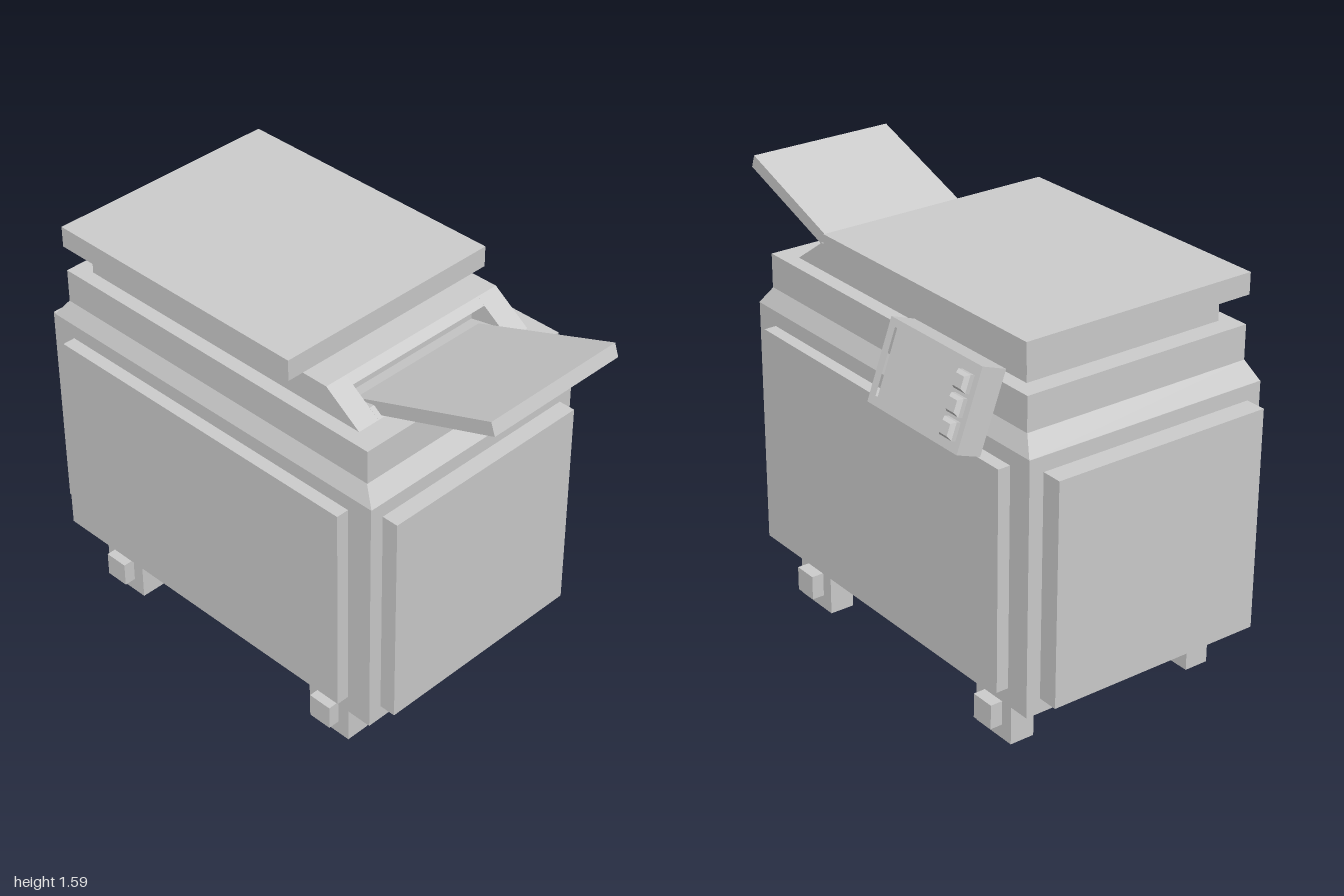
import * as THREE from 'three';

const material = new THREE.MeshStandardMaterial({ color: 0xcccccc, flatShading: true });

function add(parent, name, geometry) {
  const mesh = new THREE.Mesh(geometry, material);
  mesh.name = name;
  parent.add(mesh);
  return mesh;
}

// Box given by its limits on each axis
function box(parent, name, [x0, x1], [y0, y1], [z0, z1]) {
  const g = new THREE.BoxGeometry(x1 - x0, y1 - y0, z1 - z0);
  g.translate((x0 + x1) / 2, (y0 + y1) / 2, (z0 + z1) / 2);
  return add(parent, name, g);
}

// Box whose top is narrower than its base
function frustum(w, h, d, topW, topD) {
  const g = new THREE.BoxGeometry(w, h, d);
  const p = g.attributes.position;
  for (let i = 0; i < p.count; i++) {
    if (p.getY(i) > 0) {
      p.setX(i, Math.sign(p.getX(i)) * topW / 2);
      p.setZ(i, Math.sign(p.getZ(i)) * topD / 2);
    }
  }
  g.computeVertexNormals();
  return g;
}

const outline = (points, Type = THREE.Shape) =>
  new Type(points.map(([z, y]) => new THREE.Vector2(-z, y)));

// Side profile in (z, y), extruded from x0 to x1
function prism(parent, name, shape, x0, x1) {
  const g = new THREE.ExtrudeGeometry(shape, { depth: x1 - x0, bevelEnabled: false });
  g.rotateY(Math.PI / 2).translate(x0, 0, 0);
  return add(parent, name, g);
}

const rect = (z0, z1, y0, y1) => [[z0, y0], [z1, y0], [z1, y1], [z0, y1]];

export function createModel() {
  const model = new THREE.Group();
  model.name = 'photocopier';

  // Cabinet with sloped shoulder and narrower top section
  box(model, 'cabinet', [-0.55, 0.44], [0.2, 1.163], [-0.92, 0.66]);
  add(model, 'shoulder', frustum(0.99, 0.067, 1.58, 0.93, 1.48)).position.set(-0.055, 1.1965, -0.128);
  box(model, 'upperBody', [-0.52, 0.41], [1.23, 1.36], [-0.867, 0.614]);

  // Raised panels on the four sides
  box(model, 'frontPanel', [-0.495, 0.383], [0.257, 1.105], [0.66, 0.725]);
  box(model, 'backPanel', [-0.495, 0.383], [0.257, 1.105], [-1, -0.92]);
  box(model, 'leftPanel', [0.44, 0.488], [0.268, 1.105], [-0.82, 0.556]);
  box(model, 'rightPanel', [-0.6, -0.55], [0.268, 1.105], [-0.82, 0.556]);

  // Feet joined by cross bars
  for (const z of [0.416, -0.678]) {
    for (const x of [-0.455, 0.342]) {
      box(model, 'foot', [x - 0.049, x + 0.049], [0, 0.2], [z - 0.097, z + 0.097]);
    }
    box(model, 'crossBar', [-0.55, 0.44], [0.055, 0.15], [z - 0.048, z + 0.048]);
  }

  // Scanner bed: sloped front with a paper slot between solid ends
  const bed = new THREE.Group();
  bed.name = 'scannerBed';
  model.add(bed);
  const solid = outline([[-0.79, 1.36], [0.522, 1.36], [0.373, 1.465], [-0.79, 1.465]]);
  const slotted = outline([
    [-0.79, 1.36], [0.522, 1.36], [0.482, 1.389], [0.35, 1.363],
    [0.35, 1.405], [0.405, 1.442], [0.373, 1.465], [-0.79, 1.465],
  ]);
  prism(bed, 'bedRightEnd', solid, -0.465, -0.375);
  prism(bed, 'bedMiddle', slotted, -0.375, 0.26);
  prism(bed, 'bedLeftEnd', solid, 0.26, 0.353);
  box(model, 'lid', [-0.53, 0.415], [1.465, 1.546], [-0.865, 0.265]);

  // Sloping paper tray
  prism(model, 'paperTray',
    outline([[0.4, 1.377], [0.417, 1.33], [1, 1.539], [0.983, 1.588]]), -0.355, 0.24);

  // Tilted control panel; local x points out of its face
  const panel = new THREE.Group();
  panel.name = 'controlPanel';
  panel.position.set(0.4935, 1.278, -0.49);
  panel.rotation.z = THREE.MathUtils.degToRad(20);
  model.add(panel);
  box(panel, 'panelBack', [-0.05, 0.012], [-0.15, 0.15], [-0.248, 0.248]);
  const frame = outline(rect(-0.248, 0.248, -0.15, 0.15));
  frame.holes.push(outline(rect(-0.132, 0.215, -0.118, 0.123), THREE.Path));
  prism(panel, 'screenFrame', frame, 0.012, 0.05);
  box(panel, 'panelBracket', [-0.13, -0.05], [-0.04, 0.04], [-0.11, 0.11]);

  // Buttons with bevelled caps
  for (const y of [-0.08, 0, 0.08]) {
    box(panel, 'buttonBase', [0.05, 0.067], [y - 0.032, y + 0.032], [-0.224, -0.16]);
    const cap = add(panel, 'buttonCap', frustum(0.064, 0.015, 0.064, 0.042, 0.042));
    cap.position.set(0.0745, y, -0.192);
    cap.rotation.z = -Math.PI / 2;
  }
  return model;
}
